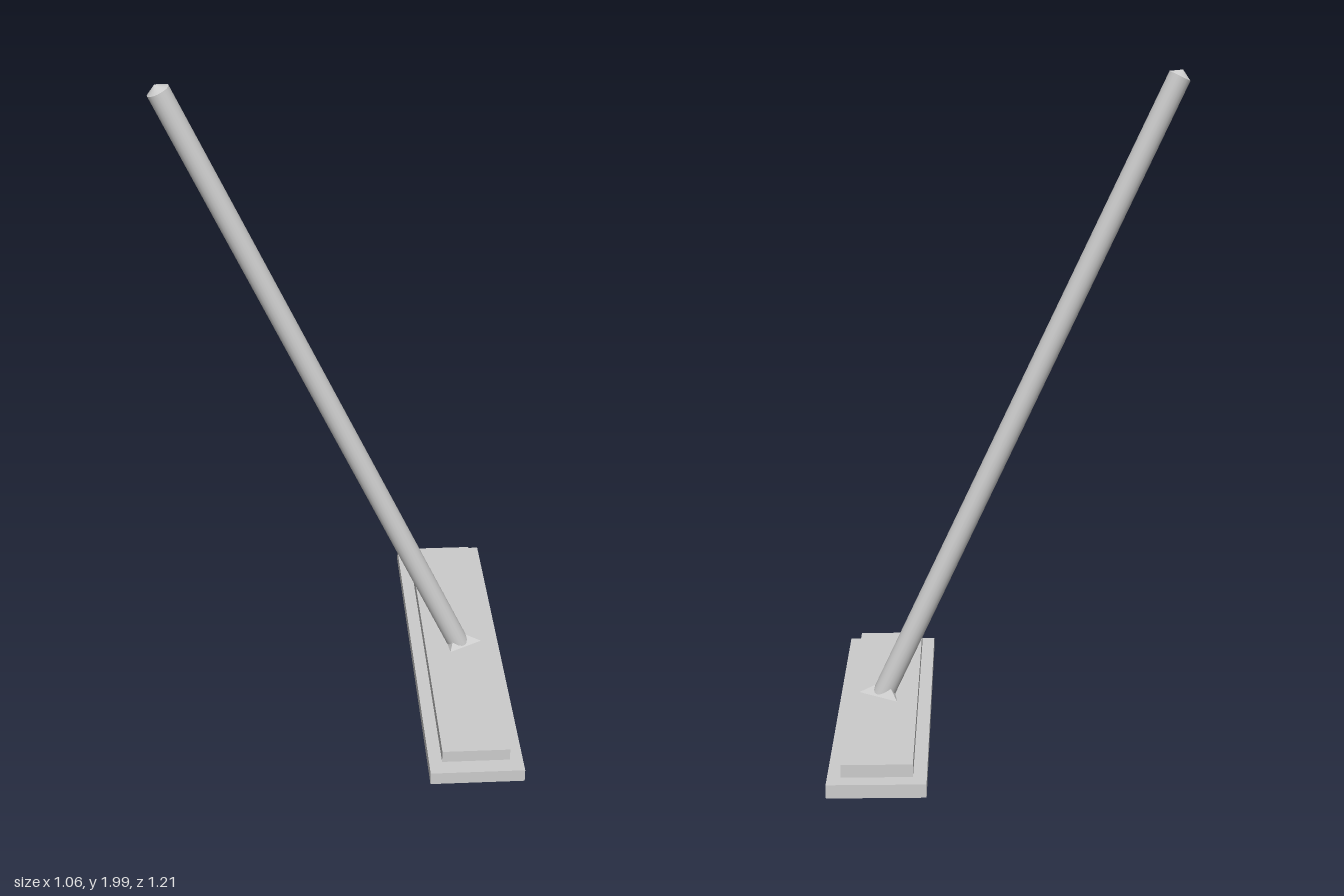
import * as THREE from 'three';

const material = new THREE.MeshStandardMaterial({ color: 0xcccccc });
const flatMaterial = new THREE.MeshStandardMaterial({ color: 0xcccccc, flatShading: true, side: THREE.DoubleSide });

export function createModel() {
  const group = new THREE.Group();
  const add = (name, geometry, mat, x, y, z) => {
    const mesh = new THREE.Mesh(geometry, mat);
    mesh.name = name;
    mesh.position.set(x, y, z);
    group.add(mesh);
    return mesh;
  };

  // Stepped rectangular head
  add('headPad', new THREE.BoxGeometry(0.284, 0.04, 1.214), material, 0.385, 0.02, 0);
  add('headPlate', new THREE.BoxGeometry(0.205, 0.038, 1.11), material, 0.385, 0.059, 0);

  // Leaning handle, running from inside the head to its upper end
  const bottom = new THREE.Vector3(0.396, 0.065, 0);
  const top = new THREE.Vector3(-0.499, 1.976, 0);
  const axis = top.clone().sub(bottom);
  const length = axis.length();
  const tilt = new THREE.Quaternion().setFromUnitVectors(new THREE.Vector3(0, 1, 0), axis.normalize());
  const middle = bottom.clone().lerp(top, 0.5);
  add('handle', new THREE.CylinderGeometry(0.034, 0.034, length, 20, 1, true), material, ...middle.toArray())
    .quaternion.copy(tilt);

  // Shallow pointed cap closing the handle
  add('handleCap', new THREE.ConeGeometry(0.034, 0.02, 20), material,
    ...top.clone().addScaledVector(axis, 0.01).toArray()).quaternion.copy(tilt);

  // Three-cornered socket around the foot of the handle
  const apex = [0.38, 0.122, 0];
  const corners = [[0.465, 0.08, 0.003], [0.345, 0.078, -0.075], [0.36, 0.078, 0.057]];
  const points = [];
  corners.forEach((corner, i) => points.push(...corner, ...corners[(i + 1) % 3], ...apex));
  const socket = new THREE.BufferGeometry();
  socket.setAttribute('position', new THREE.Float32BufferAttribute(points, 3));
  socket.computeVertexNormals();
  add('socket', socket, flatMaterial, 0, 0, 0);

  return group;
}
